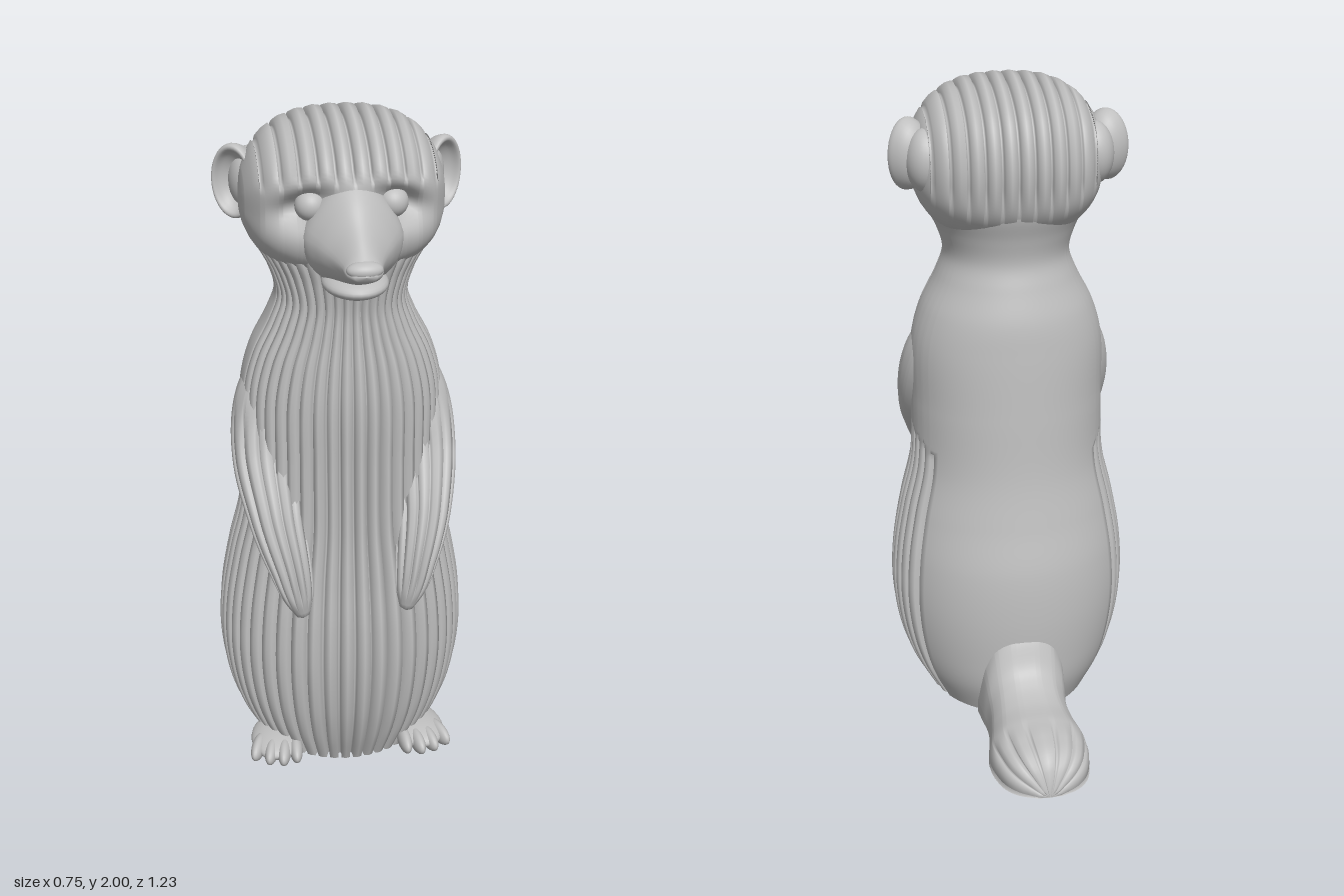
import * as THREE from 'three';

const { smoothstep: smooth } = THREE.MathUtils;
const stone = new THREE.MeshStandardMaterial({ color: 0xbfbfbf, side: THREE.DoubleSide });
stone.name = 'greyStone';

// Skin joining a list of rings; rings turn right-handed about the direction of travel
function loft(rings, closed = true) {
  const n = rings[0].length, pos = [], idx = [];
  rings.forEach((r) => r.forEach((p) => pos.push(p.x, p.y, p.z)));
  for (let i = 0; i < rings.length - 1; i++)
    for (let j = 0; j < (closed ? n : n - 1); j++) {
      const a = i * n + j, b = i * n + (j + 1) % n;
      idx.push(a, b, b + n, a, b + n, a + n);
    }
  const g = new THREE.BufferGeometry();
  g.setAttribute('position', new THREE.Float32BufferAttribute(pos, 3));
  g.setIndex(idx);
  g.computeVertexNormals();
  return g;
}

// A ring collapsed to a point, for closing an end
const point = (ring, x, y, z) => ring.map(() => new THREE.Vector3(x, y, z));

// Smooth interpolation through rows of [key, value, value...]
function table(rows) {
  const f = new THREE.CubicInterpolant(rows.map((r) => r[0]), rows.flatMap((r) => r.slice(1)), rows[0].length - 1);
  return (t) => Array.from(f.evaluate(t));
}

// Samples across n ridges between a and b: position t and groove depth d
function ridges(a, b, n) {
  const out = [], step = (b - a) / n;
  for (let i = 0; i < n; i++)
    for (const [f, d] of [[0, 1], [0.11, 1], [0.15, 0.12], [0.5, 0], [0.85, 0.12], [0.89, 1]])
      out.push({ t: a + (i + f) * step, d });
  return out;
}

const V = (x, y, z) => new THREE.Vector3(x, y, z);

// Torso, neck and cheeks: horizontal rings, grooved over the front
function bodyGeometry() {
  const shape = table([ // y, half width, front z, back z
    [0, 0.26, 0.41, -0.15], [0.1, 0.315, 0.45, -0.18], [0.2, 0.35, 0.477, -0.19], [0.35, 0.372, 0.494, -0.195],
    [0.5, 0.366, 0.49, -0.185], [0.65, 0.34, 0.47, -0.155], [0.8, 0.305, 0.45, -0.13], [1, 0.298, 0.435, -0.115],
    [1.2, 0.293, 0.425, -0.1], [1.3, 0.265, 0.412, -0.088], [1.4, 0.215, 0.395, -0.06], [1.47, 0.192, 0.387, -0.042],
    [1.55, 0.212, 0.395, -0.055], [1.63, 0.252, 0.412, -0.08], [1.7, 0.266, 0.4, -0.085], [1.76, 0.245, 0.35, -0.07],
    [1.82, 0.15, 0.25, 0]]);
  const limit = 2.1, cols = ridges(-limit, limit, 30);
  for (let i = 0; i < 36; i++) cols.push({ t: limit + (i / 36) * (2 * Math.PI - 2 * limit), d: i ? 0 : 1 });
  const rings = [];
  for (let i = 0; i <= 150; i++) {
    const y = 1.82 * i / 150, [hw, zf, zb] = shape(y), zc = 0.15;
    const wide = THREE.MathUtils.lerp(2.2, 1.45, smooth(y, 0.84, 0.94));
    const depth = THREE.MathUtils.lerp(0.03, 0.016, smooth(y, 0.9, 1.45));
    rings.push(cols.map(({ t, d }) => {
      const turn = Math.abs(t) > Math.PI ? 2 * Math.PI - Math.abs(t) : Math.abs(t);
      const cut = d * depth * (1 - smooth(turn, wide - 0.15, wide));
      const c = Math.cos(t);
      return V((hw - cut) * Math.sin(t), y, zc + c * ((c > 0 ? zf - zc : zc - zb) - cut));
    }));
  }
  rings.unshift(point(rings[0], 0, 0, 0.15), rings[0]);
  rings.push(point(rings[0], 0, 1.83, 0.13));
  return loft(rings);
}

// Skull: side outline scaled across x, with ridges running front to back
function headGeometry() {
  const outline = new THREE.CatmullRomCurve3([[2, 0.15], [1.955, 0.33], [1.87, 0.415], [1.74, 0.425], [1.62, 0.39],
    [1.53, 0.2], [1.54, 0.02], [1.64, -0.09], [1.79, -0.11], [1.925, -0.045]].map(([y, z]) => V(0, y, z)), true);
  const pts = outline.getSpacedPoints(120).slice(0, -1);
  const cols = [...ridges(-0.286, 0.286, 12), { t: 0.2875, d: 0 }];
  const cy = 1.75, cz = 0.15;
  const rings = cols.map(({ t: x, d }) => {
    const s = Math.pow(Math.max(0, 1 - Math.pow(Math.abs(x) / 0.29, 2.6)), 1 / 2.2);
    return pts.map((p) => {
      const y = cy + (p.y - cy) * s, z = cz + (p.z - cz) * s;
      const mask = p.z > cz ? smooth(p.y, 1.84, 1.9) : smooth(p.y, 1.6, 1.72);
      const cut = 1 - 0.026 * d * mask * s / 0.26;
      // Eye sockets pressed into the face
      const ex = (Math.abs(x) - 0.13) / 0.075, ey = (y - 1.785 + (Math.abs(x) - 0.13) * 0.3) / 0.05;
      const dent = 0.075 * Math.exp(-ex * ex - ey * ey) * smooth(z, 0.2, 0.3);
      return V(x, cy + (y - cy) * cut, cz + (z - cz) * cut - dent);
    });
  });
  rings.unshift(point(pts, -0.289, cy, cz));
  rings.push(point(pts, 0.289, cy, cz));
  return loft(rings);
}

// Pointed muzzle, narrower along the bridge
function snoutGeometry() {
  const shape = table([[0.34, 0.14, 1.87, 1.56], [0.4, 0.135, 1.855, 1.565], [0.45, 0.108, 1.82, 1.585],
    [0.5, 0.077, 1.772, 1.605], [0.55, 0.056, 1.733, 1.625], [0.595, 0.046, 1.698, 1.645], [0.612, 0.03, 1.685, 1.655]]);
  const rings = [];
  for (let i = 0; i <= 30; i++) {
    const z = 0.34 + 0.272 * i / 30, [hw, top, bottom] = shape(z);
    rings.push(Array.from({ length: 40 }, (_, j) => {
      const a = j / 40 * Math.PI * 2, s = Math.sin(a);
      return V(hw * Math.cos(a) * (1 - 0.35 * s * (s > 0 ? 1 : 0.3)), (top + bottom) / 2 + s * (top - bottom) / 2, z);
    }));
  }
  rings.push(point(rings[0], 0, 1.67, 0.618));
  return loft(rings);
}

// Arm: tapering tube from shoulder to paw with grooves along it
function armGeometry(side) {
  const path = new THREE.CatmullRomCurve3([[0.17, 1.29, 0.13], [0.21, 1.13, 0.17], [0.228, 0.98, 0.24],
    [0.215, 0.83, 0.36], [0.182, 0.69, 0.43], [0.153, 0.56, 0.455]].map(([x, y, z]) => V(side * x, y, z)));
  const radius = table([[0, 0.06], [0.2, 0.105], [0.42, 0.103], [0.63, 0.084], [0.8, 0.066], [0.93, 0.045], [1, 0.02]]);
  const cols = ridges(0, Math.PI * 2, 13), rings = [];
  for (let i = 0; i <= 60; i++) {
    const u = i / 60, p = path.getPointAt(u), t = path.getTangentAt(u), [r] = radius(u);
    const n = V(1, 0, 0).addScaledVector(t, -t.x).normalize(), b = t.clone().cross(n);
    rings.push(cols.map(({ t: a, d }) => {
      const dir = n.clone().multiplyScalar(Math.cos(a)).addScaledVector(b, Math.sin(a));
      const mask = smooth(u, 0.2, 0.4) * (1 - smooth(u, 0.85, 0.97)) * smooth(dir.z, -0.3, 0.1);
      return p.clone().addScaledVector(dir, r - 0.016 * d * mask);
    }));
  }
  const e = path.getPoint(1);
  rings.push(point(rings[0], e.x, e.y - 0.012, e.z));
  return loft(rings);
}

// Tail: low dome lying on the ground, grooved at the tip
const tailShape = table([[-0.615, 0.035, 0.03], [-0.6, 0.075, 0.075], [-0.57, 0.113, 0.112], [-0.5, 0.145, 0.138],
  [-0.42, 0.152, 0.145], [-0.33, 0.136, 0.152], [-0.27, 0.128, 0.175], [-0.23, 0.128, 0.21], [-0.19, 0.133, 0.29],
  [-0.12, 0.14, 0.36]]);
function tailGeometry() {
  const cols = [...ridges(0, Math.PI, 7), { t: Math.PI, d: 0 }], rings = [];
  for (let i = 0; i <= 60; i++) {
    const z = -0.615 + 0.495 * i / 60, [hw, h] = tailShape(z);
    rings.push(cols.map(({ t, d }, j) => {
      const cut = j ? d * 0.012 * (1 - smooth(z, -0.5, -0.4)) : 0, c = Math.cos(t);
      return V((hw - cut) * Math.sign(c) * Math.pow(Math.abs(c), 0.85), Math.max(0, h - cut) * Math.pow(Math.max(0, Math.sin(t)), 0.75), z);
    }));
  }
  rings.unshift(point(cols, 0, 0, -0.617));
  return loft(rings, false);
}
function tailBaseGeometry() {
  const edge = [];
  for (let i = 0; i <= 30; i++) {
    const z = -0.615 + 0.495 * i / 30;
    edge.push([tailShape(z)[0], -z]);
  }
  const all = [...edge, ...edge.slice().reverse().map(([x, z]) => [-x, z])];
  const g = new THREE.ShapeGeometry(new THREE.Shape(all.map(([x, y]) => new THREE.Vector2(x, y))));
  return g.rotateX(-Math.PI / 2).scale(1, -1, 1).translate(0, 0.001, 0);
}

export function createModel() {
  const model = new THREE.Group();
  model.name = 'standingAnimal';
  const add = (name, geometry, parent = model) => {
    const m = new THREE.Mesh(geometry, stone);
    m.name = name;
    parent.add(m);
    return m;
  };
  const blob = (name, [x, y, z], [rx, ry, rz], parent, turn = 0) => {
    const m = add(name, new THREE.SphereGeometry(1, 28, 18), parent);
    m.scale.set(rx, ry, rz);
    m.position.set(x, y, z);
    m.rotation.y = turn;
    return m;
  };

  add('body', bodyGeometry());
  add('head', headGeometry());
  add('snout', snoutGeometry());
  blob('nose', [0, 1.68, 0.588], [0.05, 0.024, 0.03]);
  blob('lowerJaw', [0, 1.585, 0.42], [0.092, 0.035, 0.115]);
  add('tail', tailGeometry());
  add('tailBase', tailBaseGeometry());

  // Ear cup: hollow bowl with a rounded rim
  const cup = [[0, -0.05], [0.5, -0.045], [0.85, -0.02], [1, 0.012], [0.97, 0.03], [0.85, 0.03], [0.7, 0.008], [0.4, -0.012], [0, -0.018]];
  const cupCurve = new THREE.SplineCurve(cup.map(([r, h]) => new THREE.Vector2(r, h)));

  for (const side of [1, -1]) {
    const label = side > 0 ? 'left' : 'right';
    add(label + 'Arm', armGeometry(side));
    blob(label + 'Eye', [side * 0.113, 1.785, 0.355], [0.043, 0.043, 0.043]);

    const ear = new THREE.Group();
    ear.name = label + 'Ear';
    const bowlShape = new THREE.LatheGeometry(cupCurve.getPoints(32).map((p) => new THREE.Vector2(Math.max(0, p.x), p.y)), 40);
    add(label + 'EarCup', bowlShape.rotateX(Math.PI / 2).scale(0.072, 0.108, 1), ear);
    ear.position.set(side * 0.285, 1.785, 0.105);
    ear.rotation.y = side * 0.7;
    model.add(ear);
    blob(label + 'EarRoot', [side * 0.25, 1.775, 0.07], [0.06, 0.095, 0.075]);

    // Flat foot with four toes
    const foot = new THREE.Group();
    foot.name = label + 'Foot';
    blob(label + 'FootPad', [side * 0.215, 0.036, 0.31], [0.085, 0.036, 0.12], foot, side * 0.2);
    for (let i = 0; i < 4; i++)
      blob(label + 'Toe', [side * (0.17 + i * 0.037), 0.033, [0.38, 0.39, 0.38, 0.355][i]], [0.021, 0.033, 0.065], foot, side * (0.05 + i * 0.1));
    model.add(foot);
  }
  return model;
}
